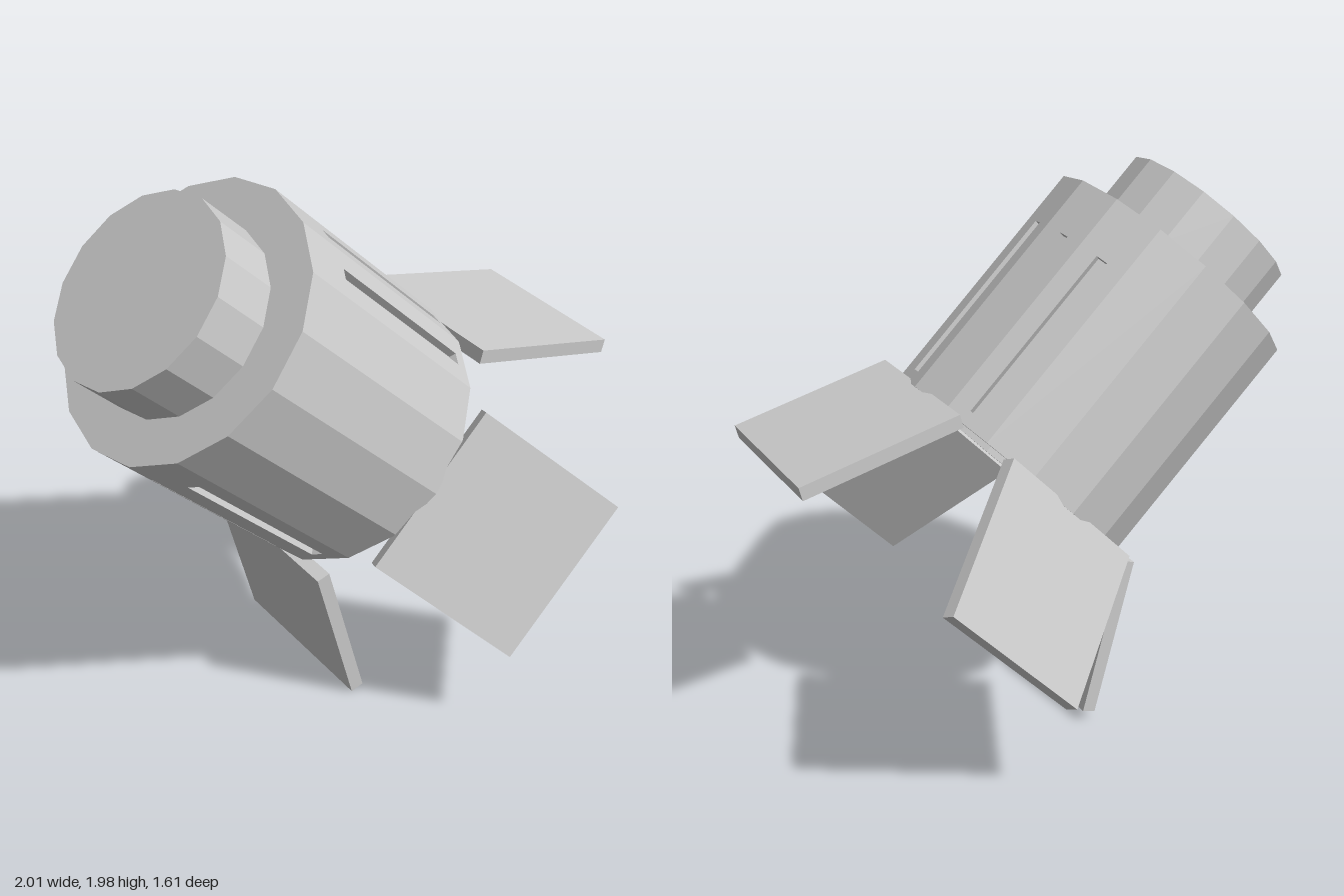
import * as THREE from 'three';

const SIDES = 16;
const STEP = (Math.PI * 2) / SIDES;
const LENGTH = 0.93;        // housing length, front rim at local z = 0
const OUTER = 0.505;        // housing corner radius
const DRUM = 0.478;         // inner drum corner radius
const APOTHEM = OUTER * Math.cos(STEP / 2);
const WALL = APOTHEM - DRUM * Math.cos(STEP / 2);

const material = new THREE.MeshStandardMaterial({ color: 0xcccccc, flatShading: true });

function addMesh(parent, name, geometry) {
  const mesh = new THREE.Mesh(geometry, material);
  mesh.name = name;
  parent.add(mesh);
  return mesh;
}

// One flat side of the housing, mitred inwards, optionally with a vent slot
function panelGeometry(slotted) {
  const w = OUTER * Math.sin(STEP / 2);
  const rect = (shape, x, y0, y1) =>
    shape.moveTo(-x, y0).lineTo(x, y0).lineTo(x, y1).lineTo(-x, y1).closePath();
  const shape = rect(new THREE.Shape(), w, -LENGTH, 0);
  if (slotted) shape.holes.push(rect(new THREE.Path(), 0.023, -0.73, -0.05));
  const g = new THREE.ExtrudeGeometry(shape, { depth: WALL, bevelEnabled: false });
  const p = g.attributes.position;
  for (let i = 0; i < p.count; i++) {
    if (p.getZ(i) < WALL / 2 && Math.abs(p.getX(i)) > 0.06) {
      p.setX(i, (p.getX(i) * (APOTHEM - WALL)) / APOTHEM);
    }
  }
  g.rotateX(Math.PI / 2).translate(0, WALL - APOTHEM, 0);
  g.computeVertexNormals();
  return g;
}

export function createModel() {
  const model = new THREE.Group();
  model.name = 'spotlight';

  // Lamp built along local z (light shines to +z), then tilted down
  const lamp = new THREE.Group();
  lamp.name = 'lamp';
  lamp.position.set(0.05, 0.942, 0.115);
  lamp.rotation.set(0.763, 1.871, 0.0585, 'YXZ');
  model.add(lamp);

  // Inner drum with recessed lens at the front
  const profile = [
    [0, -LENGTH], [DRUM, -LENGTH], [DRUM, 0], [0.47, 0], [0.47, -0.085], [0, -0.085],
  ].map(([r, z]) => new THREE.Vector2(r, z));
  addMesh(lamp, 'drumAndLens', new THREE.LatheGeometry(profile, SIDES).rotateX(Math.PI / 2));

  // Housing panels, four slotted ones at the top and four at the bottom
  const housing = new THREE.Group();
  housing.name = 'housing';
  lamp.add(housing);
  const plain = panelGeometry(false);
  const slotted = panelGeometry(true);
  for (let k = 0; k < SIDES; k++) {
    const vent = (k + 2) % 8 < 4;
    const panel = addMesh(housing, vent ? 'ventPanel' : 'panel', vent ? slotted : plain);
    panel.rotation.z = (k + 0.5) * STEP;
  }

  // Smaller rear cap
  const cap = new THREE.CylinderGeometry(0.345, 0.345, 0.226, SIDES).rotateX(Math.PI / 2);
  addMesh(lamp, 'rearCap', cap).position.z = -LENGTH - 0.113;

  // Four barn doors flaring out by 30 degrees from the rim
  const door = new THREE.BoxGeometry(0.64, 0.05, 0.6).translate(0, -0.025, 0.3);
  door.rotateX(-Math.PI / 6).translate(0, 0.487, -0.015);
  for (let i = 0; i < 4; i++) {
    addMesh(lamp, 'barnDoor', door).rotation.z = (i * Math.PI) / 2;
  }

  return model;
}
